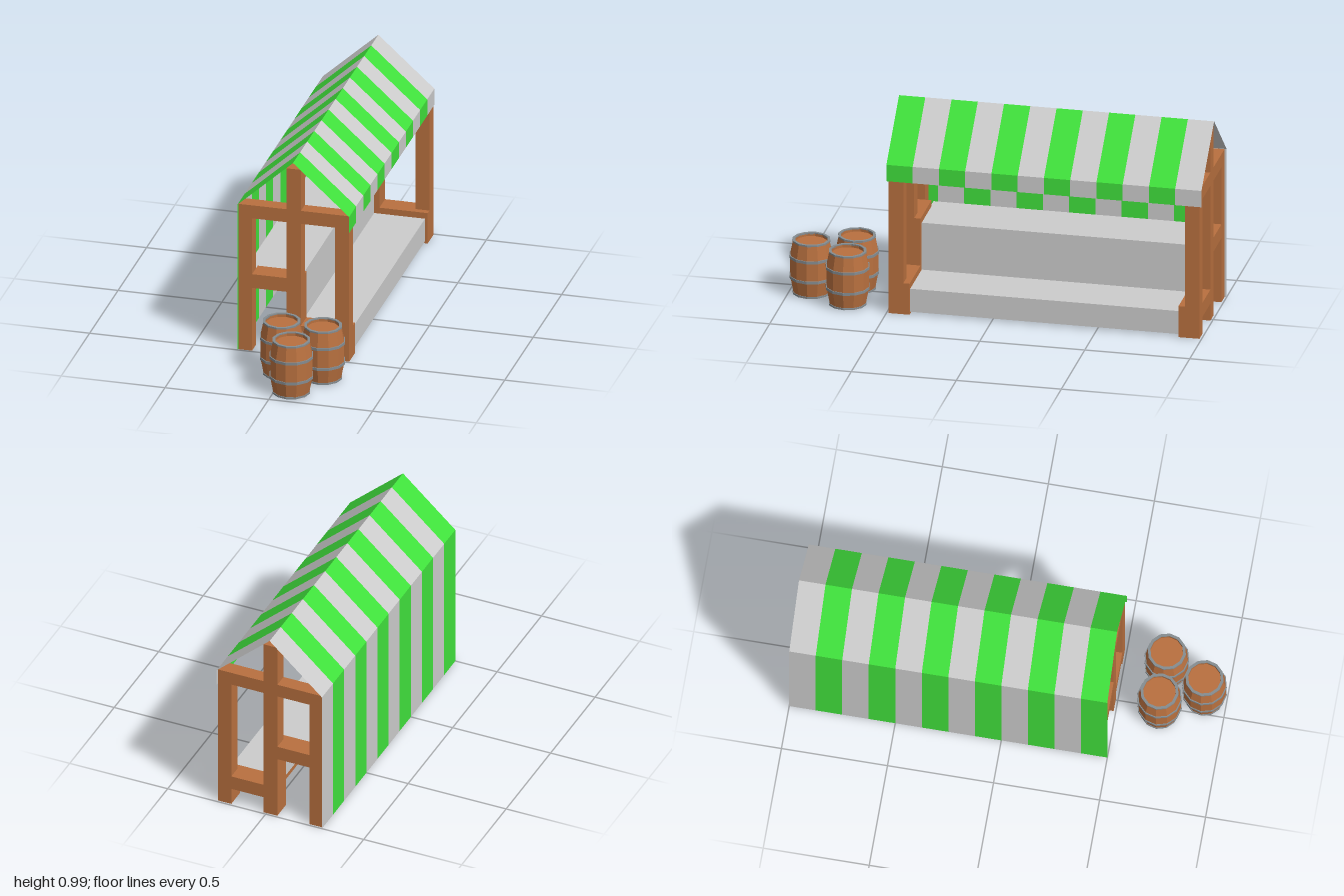
import * as THREE from 'three';

const mat = (color, side = THREE.FrontSide) =>
  new THREE.MeshStandardMaterial({ color, flatShading: true, side });
const wood = mat(0xb8703f);
const iron = mat(0x858c90);
const cloth = mat(0xcccccc, THREE.DoubleSide);
const green = mat(0x40e03c, THREE.DoubleSide);
const board = mat(0xcccccc);

// Box given by its limits on each axis
function box(parent, name, material, [x0, x1], [y0, y1], [z0, z1]) {
  const mesh = new THREE.Mesh(new THREE.BoxGeometry(x1 - x0, y1 - y0, z1 - z0), material);
  mesh.position.set((x0 + x1) / 2, (y0 + y1) / 2, (z0 + z1) / 2);
  mesh.name = name;
  parent.add(mesh);
}

// Strip of cloth following an (x, y) profile between two z positions
function clothStrip(profile, z0, z1) {
  const pos = [], idx = [];
  for (const [x, y] of profile) pos.push(x, y, z0, x, y, z1);
  for (let i = 0; i < profile.length - 1; i++) {
    const a = i * 2;
    idx.push(a, a + 2, a + 1, a + 1, a + 2, a + 3);
  }
  const g = new THREE.BufferGeometry();
  g.setAttribute('position', new THREE.Float32BufferAttribute(pos, 3));
  g.setIndex(idx);
  const flat = g.toNonIndexed();
  flat.computeVertexNormals();
  return flat;
}

// Three posts, crossbeam and stepped shelf supports; dir points inwards along z
function endFrame(zOuter, dir) {
  const g = new THREE.Group();
  g.name = 'endFrame';
  const span = (d) => [zOuter, zOuter + dir * d].sort((a, b) => a - b);
  const thin = span(0.07), wide = span(0.1);
  const back = [-0.285, -0.22], mid = [-0.055, 0.015], front = [0.18, 0.248];
  box(g, 'backPost', wood, back, [0, 0.675], thin);
  box(g, 'centrePost', wood, mid, [0.39, 0.95], thin);
  box(g, 'centrePostFoot', wood, mid, [0, 0.39], wide);
  box(g, 'frontPost', wood, front, [0.155, 0.675], thin);
  box(g, 'frontPostFoot', wood, front, [0, 0.155], wide);
  box(g, 'crossbeamBack', wood, [-0.285, -0.055], [0.675, 0.741], thin);
  box(g, 'crossbeamFront', wood, [0.015, 0.248], [0.675, 0.741], thin);
  box(g, 'upperShelfBeam', wood, [-0.22, -0.055], [0.32, 0.39], wide);
  box(g, 'lowerShelfBeam', wood, [0.015, 0.18], [0.085, 0.155], wide);
  return g;
}

// Twelve-sided barrel with recessed lid, rims and hoops
function barrel(x, z) {
  const g = new THREE.Group();
  g.name = 'barrel';
  const lathe = (name, pts, material) => {
    const v = pts.map(([r, y]) => new THREE.Vector2(r, y));
    const m = new THREE.Mesh(new THREE.LatheGeometry(v, 12), material);
    m.name = name;
    g.add(m);
  };
  lathe('barrelBody', [[0, 0.008], [0.086, 0.008], [0.101, 0.085], [0.101, 0.19],
    [0.086, 0.266], [0.077, 0.266], [0.077, 0.254], [0, 0.254]], wood);
  const ring = (name, y0, y1, inner, outer) => lathe(name,
    [[inner, y0], [outer, y0], [outer, y1], [inner, y1], [inner, y0]], iron);
  ring('bottomRim', 0.004, 0.013, 0.077, 0.09);
  ring('lowerHoop', 0.082, 0.095, 0.096, 0.105);
  ring('upperHoop', 0.183, 0.196, 0.096, 0.105);
  ring('topRim', 0.263, 0.271, 0.077, 0.09);
  g.position.set(x, 0, z);
  return g;
}

export function createModel() {
  const model = new THREE.Group();
  model.name = 'marketStall';

  // Wooden frame
  model.add(endFrame(0.49, -1), endFrame(-0.99, 1));
  box(model, 'ridgeBeam', wood, [-0.055, 0.015], [0.88, 0.949], [-0.92, 0.42]);

  // Stepped display shelves with wooden planks underneath
  const z = [-0.895, 0.395];
  box(model, 'upperShelf', board, [-0.284, -0.01], [0.345, 0.36], z);
  box(model, 'upperPlank', wood, [-0.284, -0.02], [0.322, 0.345], z);
  box(model, 'shelfRiser', board, [-0.02, -0.01], [0.11, 0.345], z);
  box(model, 'lowerShelf', board, [-0.01, 0.235], [0.11, 0.125], z);
  box(model, 'lowerPlank', wood, [-0.02, 0.225], [0.087, 0.11], z);
  box(model, 'shelfFront', board, [0.225, 0.235], [0.01, 0.11], z);

  // Striped awning: valance, two roof slopes and the full back cloth
  const awning = new THREE.Group();
  awning.name = 'awning';
  const profile = [[0.25, 0.66], [0.25, 0.742], [-0.02, 0.985], [-0.287, 0.742], [-0.287, 0]];
  for (let i = 0; i < 12; i++) {
    const z1 = 0.5 - i * 0.125;
    const stripe = new THREE.Mesh(clothStrip(profile, z1 - 0.125, z1), i % 2 ? cloth : green);
    stripe.name = 'awningStripe';
    awning.add(stripe);
  }
  model.add(awning);

  // Barrels in front of the stall
  for (const [x, bz] of [[-0.02, 0.7], [0.18, 0.7], [0.08, 0.895]]) model.add(barrel(x, bz));
  return model;
}
